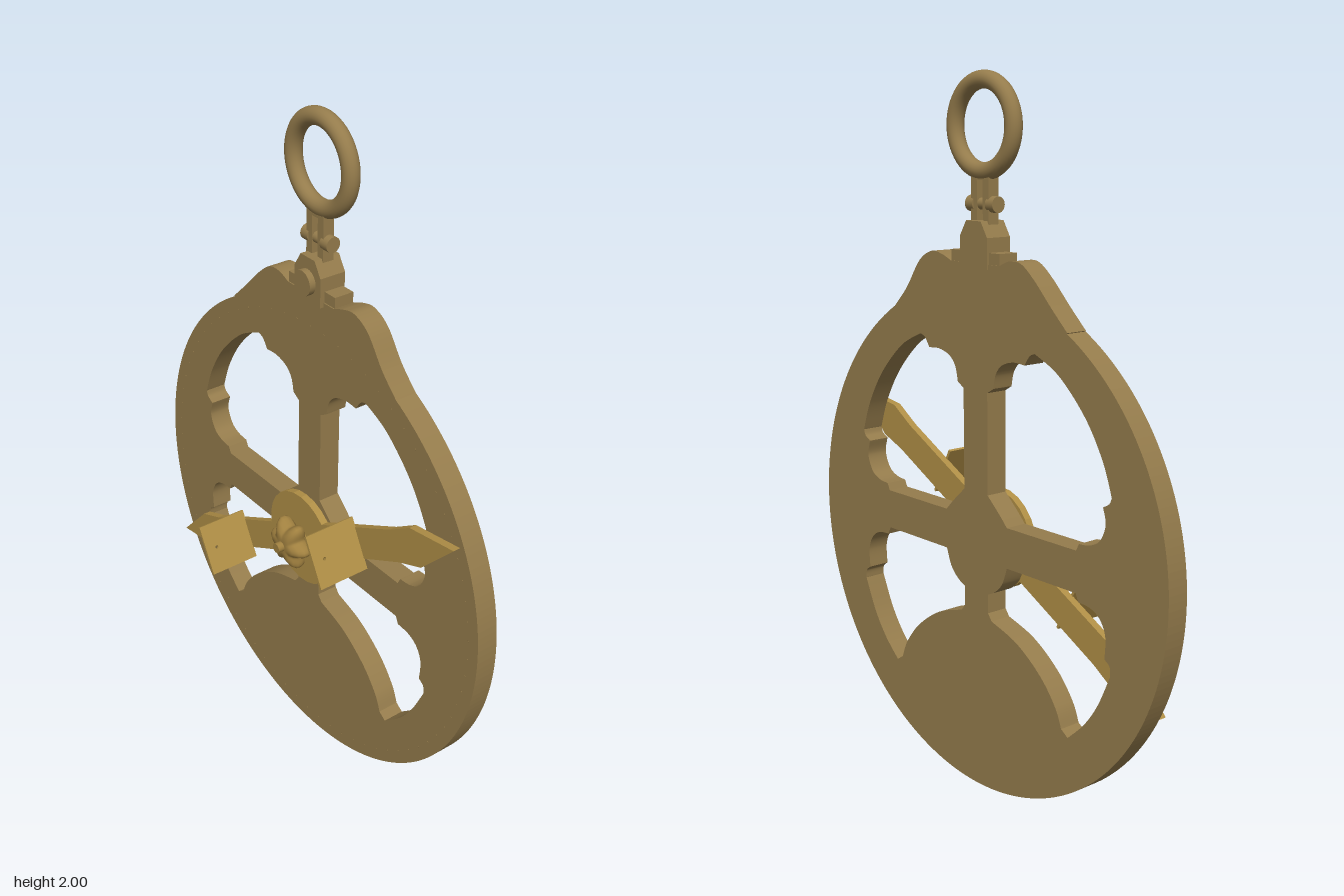
import * as THREE from 'three';

const CY = 0.723; // disc centre height
const R = 0.723;  // disc radius

export function createModel() {
  const model = new THREE.Group();
  const material = (name, color) => {
    const m = new THREE.MeshStandardMaterial({ color });
    m.name = name;
    return m;
  };
  const brass = material('aged brass', 0x957c4c);
  const gold = material('bright brass', 0xb08f46);
  const bronze = material('knob bronze', 0xa0803f);

  const add = (name, geometry, mat, x = 0, y = 0, z = 0, parent = model) => {
    const mesh = new THREE.Mesh(geometry, mat);
    mesh.name = name;
    mesh.position.set(x, y, z);
    parent.add(mesh);
    return mesh;
  };
  const extrude = (shape, depth) =>
    new THREE.ExtrudeGeometry(shape, { depth, bevelEnabled: false, curveSegments: 96 });
  const vecs = (points, s = 1) => points.map(([x, y]) => new THREE.Vector2(x * s, y));
  const box = (w, h, d) => new THREE.BoxGeometry(w, h, d);
  const rod = (r, length, sides = 24) => new THREE.CylinderGeometry(r, r, length, sides);

  // Pierced disc with a raised pair of shoulders, drawn anticlockwise
  const disc = new THREE.Shape();
  const a = Math.atan2(0.63, 0.36);
  disc.absarc(0, CY, R, Math.PI - a, Math.PI * 2 + a, false);
  disc.splineThru(vecs([[0.3, 1.41], [0.24, 1.49], [0.185, 1.52], [0.14, 1.515], [0.1, 1.5]]));
  disc.lineTo(-0.1, 1.5);
  disc.splineThru(vecs([[-0.14, 1.515], [-0.185, 1.512], [-0.235, 1.475], [-0.3, 1.41], [-0.36, 1.353]]));

  // Each window alternates straight edges and curves; s mirrors it
  const windowHole = (s, start, runs) => {
    const path = new THREE.Path();
    path.moveTo(start[0] * s, start[1]);
    for (const run of runs) {
      if (run.length === 1) path.lineTo(run[0][0] * s, run[0][1]);
      else path.splineThru(vecs(run, s));
    }
    path.closePath();
    return path;
  };
  for (const s of [-1, 1]) {
    disc.holes.push(windowHole(s, [0.05, 0.87], [
      [[0.05, 1.155]], [[0.075, 1.17]],
      [[0.085, 1.21], [0.11, 1.238], [0.155, 1.252], [0.2, 1.25]],
      [[0.22, 1.277], [0.24, 1.285]],
      [[0.33, 1.24], [0.425, 1.15], [0.49, 1.05], [0.525, 0.96]],
      [[0.517, 0.943], [0.495, 0.93]],
      [[0.505, 0.885], [0.485, 0.84], [0.45, 0.82], [0.41, 0.815]],
      [[0.4, 0.795]], [[0.13, 0.795]],
      [[0.1, 0.825], [0.05, 0.87]],
    ]));
    disc.holes.push(windowHole(s, [0.05, 0.585], [
      [[0.08, 0.6], [0.11, 0.63], [0.13, 0.68]],
      [[0.4, 0.68]], [[0.41, 0.658]],
      [[0.455, 0.653], [0.49, 0.632], [0.51, 0.59], [0.508, 0.53]],
      [[0.527, 0.515], [0.53, 0.49]],
      [[0.485, 0.395], [0.435, 0.325], [0.375, 0.268]],
      [[0.35, 0.285]],
      [[0.325, 0.34], [0.265, 0.41], [0.17, 0.475], [0.065, 0.51]],
      [[0.05, 0.53]],
    ]));
  }
  add('disc', extrude(disc, 0.065), brass, 0, 0, -0.124);

  // Tiny degree marks round the rim
  const marks = new THREE.Group();
  marks.name = 'degreeMarks';
  model.add(marks);
  const markGeometry = rod(0.003, 0.002, 6).rotateX(Math.PI / 2);
  for (let i = 0; i < 72; i++) {
    const t = (i / 72) * Math.PI * 2;
    add('mark', markGeometry, brass, Math.cos(t) * 0.685, CY + Math.sin(t) * 0.685, -0.059, marks);
  }

  // Sighting rule: round hub, two arms with pointed ends
  const alidade = new THREE.Group();
  alidade.name = 'sightingRule';
  alidade.position.set(0, CY, 0);
  alidade.rotation.z = Math.atan2(0.675, 1.275);
  model.add(alidade);
  const upper = [[0.72, 0], [0.56, 0.055], [0.47, 0.046]];
  for (let i = 0; i <= 10; i++) {
    const t = 0.32 + (i / 10) * (Math.PI - 0.64);
    upper.push([Math.cos(t) * 0.145, Math.sin(t) * 0.145]);
  }
  upper.push([-0.47, 0.046], [-0.56, 0.055]);
  const outline = [...upper, ...upper.map(([x, y]) => [-x, -y])];
  add('ruleBar', extrude(new THREE.Shape(vecs(outline)), 0.022), gold, 0, 0, -0.05, alidade);

  // Upright sight vanes with pinholes
  const vane = new THREE.Shape(vecs([[-0.076, -0.03], [0.076, -0.03], [0.076, 0.129], [-0.076, 0.129]]));
  const pinhole = new THREE.Path();
  pinhole.absarc(0, 0.092, 0.005, 0, Math.PI * 2, true);
  vane.holes.push(pinhole);
  const vaneGeometry = new THREE.ExtrudeGeometry(vane, { depth: 0.008, bevelEnabled: false, curveSegments: 8 });
  vaneGeometry.applyMatrix4(new THREE.Matrix4().makeBasis(
    new THREE.Vector3(0, 1, 0), new THREE.Vector3(0, 0, 1), new THREE.Vector3(1, 0, 0)));
  for (const s of [-1, 1]) add('sightVane', vaneGeometry, gold, s * 0.302 - 0.004, 0, 0, alidade);

  // Pivot and six-lobed wing knob
  add('pivotCollar', rod(0.036, 0.06).rotateX(Math.PI / 2), bronze, 0, CY, -0.04);
  add('pivotPin', rod(0.015, 0.07).rotateX(Math.PI / 2), bronze, 0, CY, 0.024);
  const knob = new THREE.LatheGeometry(vecs([[0, -0.018], [0.052, -0.018], [0.064, -0.01], [0.067, 0.002],
    [0.066, 0.014], [0.058, 0.027], [0.042, 0.038], [0.022, 0.04], [0, 0.04]]), 72);
  const p = knob.attributes.position;
  for (let i = 0; i < p.count; i++) {
    const x = p.getX(i), z = p.getZ(i), r = Math.hypot(x, z);
    const k = 1 + 0.2 * Math.min(1, r / 0.06) * Math.cos(6 * Math.atan2(z, x));
    p.setX(i, x * k);
    p.setZ(i, z * k);
  }
  knob.rotateX(Math.PI / 2);
  knob.computeVertexNormals();
  add('knob', knob, bronze, 0, CY, 0);

  // Hanging bracket with its screw
  add('bracketBase', box(0.2, 0.05, 0.06), brass, 0, 1.506, -0.092);
  const bracket = new THREE.Shape(vecs([[-0.056, 1.487], [0.056, 1.487], [0.056, 1.57],
    [0.03, 1.612], [-0.03, 1.612], [-0.056, 1.57]]));
  add('bracket', extrude(bracket, 0.08), brass, 0, 0, -0.128);
  add('bracketScrew', rod(0.036, 0.025).rotateX(Math.PI / 2), brass, 0, 1.543, -0.042);

  // Twin links, cross pin and suspension ring
  for (const s of [-1, 1]) {
    add('link', box(0.024, 0.15, 0.034), brass, s * 0.024, 1.662, -0.088);
    add('linkBoss', rod(0.022, 0.03).rotateZ(Math.PI / 2), brass, s * 0.041, 1.655, -0.088);
  }
  add('crossPin', rod(0.016, 0.06).rotateZ(Math.PI / 2), brass, 0, 1.655, -0.088);
  add('linkCap', box(0.072, 0.02, 0.034), brass, 0, 1.728, -0.088);
  add('ring', new THREE.TorusGeometry(0.118, 0.024, 20, 64), brass, 0, 1.858, -0.09);

  return model;
}
